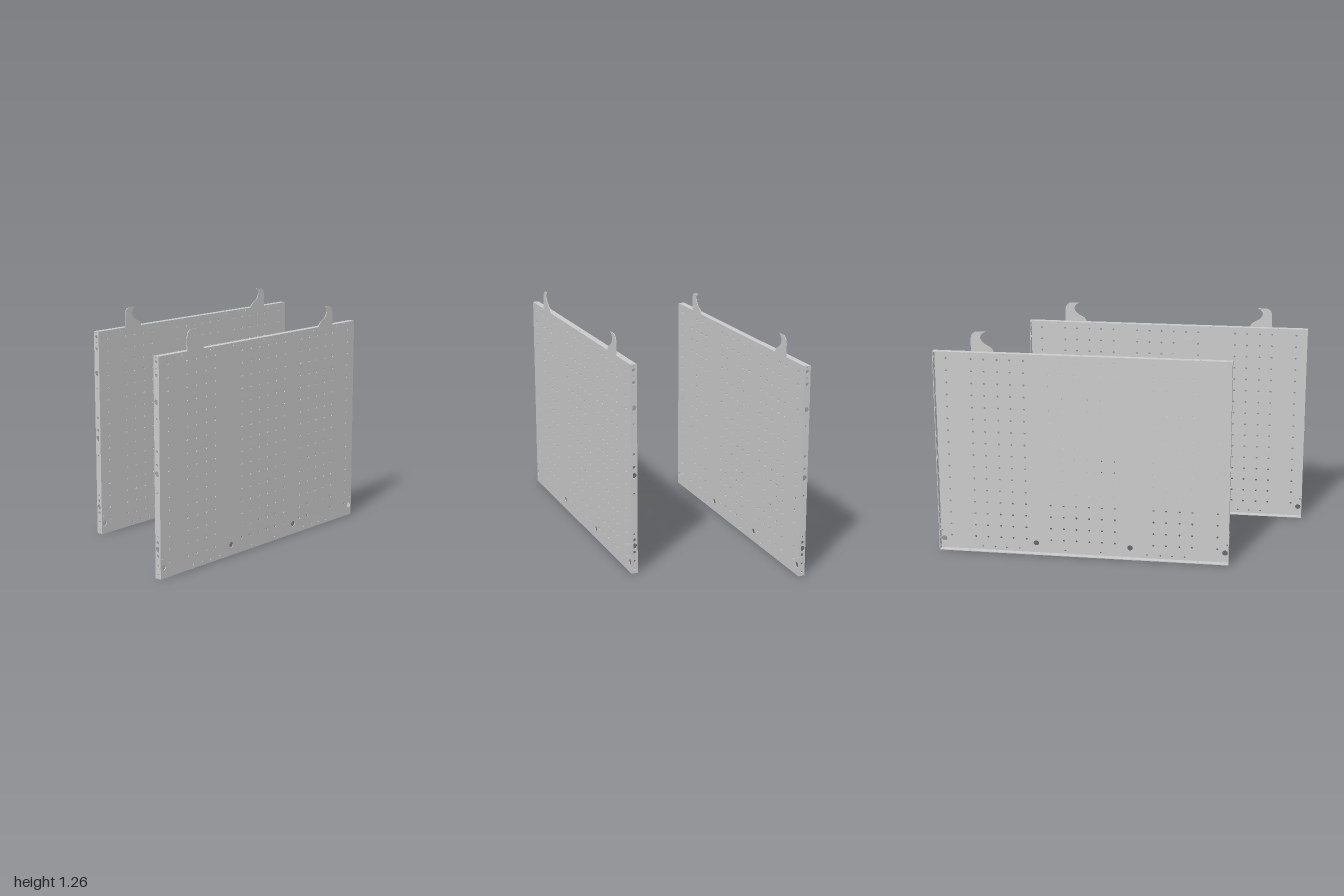
import * as THREE from 'three';

const LENGTH = 1.63, HEIGHT = 1.152, DEPTH = 0.036, SHEET = 0.004;
const HALF = LENGTH / 2;
const material = new THREE.MeshStandardMaterial({ color: 0xcccccc });

// Rectangular plate outline with round holes given as [x, y, radius]
function plate(x0, y0, x1, y1, holes) {
  const shape = new THREE.Shape();
  shape.moveTo(x0, y0).lineTo(x1, y0).lineTo(x1, y1).lineTo(x0, y1).closePath();
  for (const [x, y, r] of holes) {
    shape.holes.push(new THREE.Path().absarc(x, y, r, 0, Math.PI * 2, true));
  }
  return shape;
}

function extrude(shape, curveSegments = 5) {
  return new THREE.ExtrudeGeometry(shape, { depth: SHEET, bevelEnabled: false, curveSegments });
}

function part(name, geometry) {
  const mesh = new THREE.Mesh(geometry, material);
  mesh.name = name;
  return mesh;
}

// Perforation of the large sheet, as [z, y, radius]
function sheetHoles() {
  const holes = [];
  const columns = [-0.75, -0.61, -0.54, -0.465, -0.395, -0.32, -0.18, -0.107, -0.036,
    0.036, 0.107, 0.18, 0.395, 0.465, 0.54, 0.61, 0.75];
  for (const z of columns) {
    for (let row = 0; row < 16; row++) holes.push([z, 0.08 + row * 0.0685, 0.006]);
  }
  // Large round openings above the lower edge
  for (const z of [-0.793, -0.265, 0.265, 0.793]) holes.push([z, 0.059, 0.016]);
  // Fastener holes along the edges
  for (const z of [-0.57, -0.5, -0.435, -0.36, -0.1, 0.1, 0.36, 0.435, 0.5, 0.57]) {
    holes.push([z, 0.022, 0.005]);
  }
  for (const z of [-0.645, -0.43, -0.25, 0, 0.25, 0.43, 0.645]) holes.push([z, 1.14, 0.004]);
  for (const z of [-0.803, 0.803]) holes.push([z, 0.107, 0.005]);
  return holes;
}

// Hook with a straight outer back and a beak pointing to the panel's middle
function hookShape(side) {
  const s = new THREE.Shape();
  const z = (v) => v * side;
  s.moveTo(z(0.606), HEIGHT);
  s.lineTo(z(0.606), 1.22);
  s.quadraticCurveTo(z(0.604), 1.262, z(0.565), 1.262);
  s.lineTo(z(0.524), 1.262);
  s.quadraticCurveTo(z(0.55), 1.25, z(0.553), 1.228);
  s.quadraticCurveTo(z(0.545), 1.2, z(0.515), 1.186);
  s.quadraticCurveTo(z(0.483), 1.172, z(0.481), HEIGHT);
  s.closePath();
  return s;
}

function createPanel(name) {
  const panel = new THREE.Group();
  panel.name = name;

  // Perforated sheet, outer face on local x = 0
  const sheet = extrude(plate(-HALF, 0, HALF, HEIGHT, sheetHoles()));
  panel.add(part('perforatedSheet', sheet.rotateY(-Math.PI / 2)));

  // Hooks standing on the upper edge
  for (const side of [1, -1]) {
    panel.add(part('hook', extrude(hookShape(side), 8).rotateY(-Math.PI / 2)));
  }

  // End flanges with mixed fastener holes
  const mid = -DEPTH / 2;
  const endHoles = [[1.143, 0.004], [1.122, 0.009], [1.088, 0.005], [1.055, 0.009],
    [0.918, 0.015], [0.832, 0.005], [0.667, 0.008], [0.597, 0.008], [0.55, 0.015],
    [0.45, 0.005], [0.222, 0.005], [0.19, 0.009], [0.155, 0.015], [0.12, 0.009],
    [0.07, 0.006], [0.022, 0.005]].map(([y, r]) => [mid, y, r]);
  for (const z of [-HALF, HALF - SHEET]) {
    const flange = extrude(plate(-DEPTH, 0, -SHEET, HEIGHT, endHoles));
    panel.add(part('endFlange', flange.translate(0, 0, z)));
  }

  // Upper and lower flanges between the ends
  const edgeHoles = [-0.795, -0.645, 0, 0.645, 0.795].map((z) => [mid, z, 0.005]);
  const inner = HALF - SHEET;
  for (const [label, y] of [['lowerFlange', SHEET], ['upperFlange', HEIGHT]]) {
    const flange = extrude(plate(-DEPTH, -inner, -SHEET, inner, edgeHoles));
    panel.add(part(label, flange.rotateX(Math.PI / 2).translate(0, y, 0)));
  }
  return panel;
}

export function createModel() {
  const model = new THREE.Group();
  model.name = 'sidePanels';

  // Two equal panels, offset along z
  const left = createPanel('leftPanel');
  left.position.set(0.42, 0, 1 - HALF);
  const right = createPanel('rightPanel');
  right.position.set(-0.386, 0, HALF - 1);
  model.add(left, right);
  return model;
}
